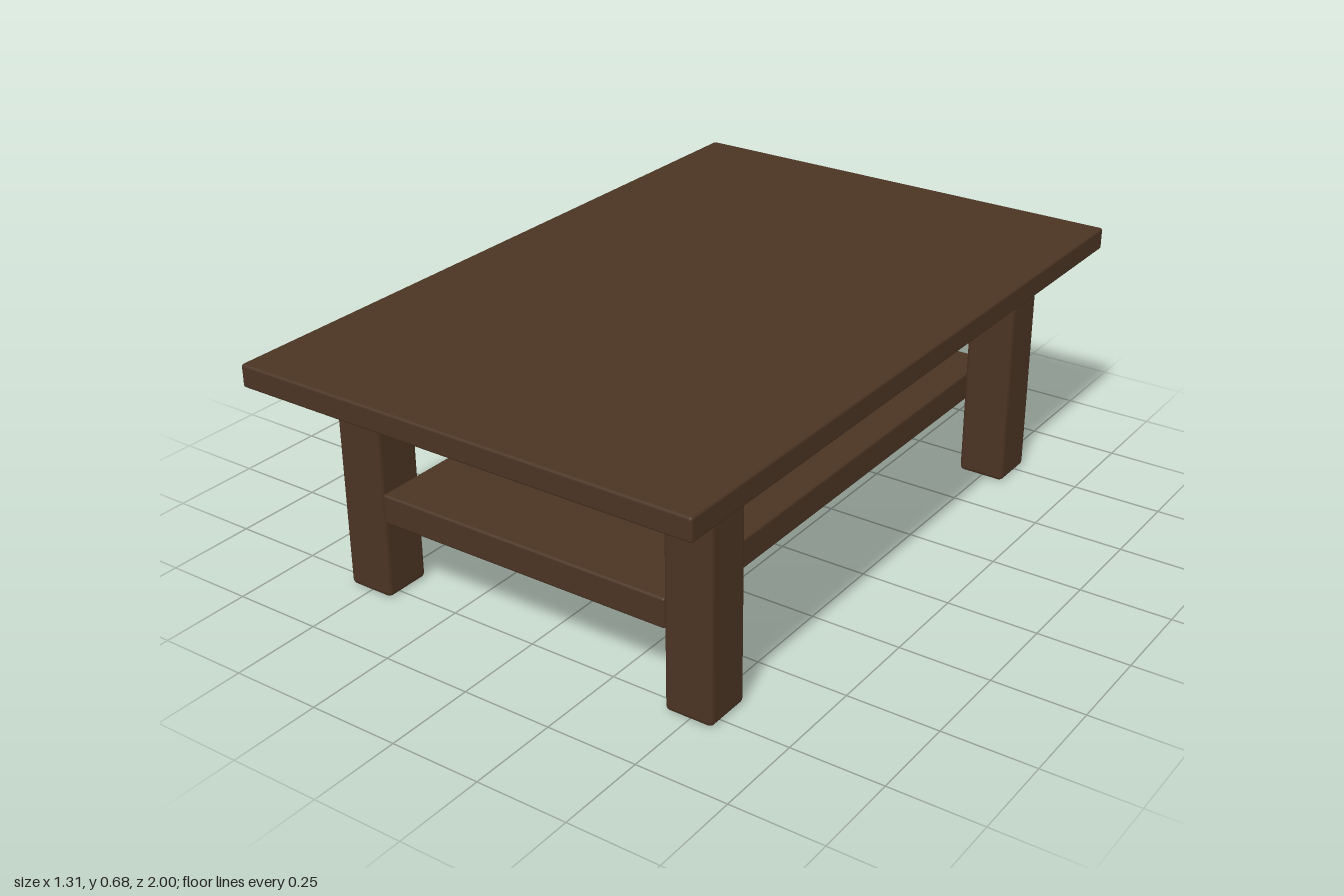
import * as THREE from 'three';
import { RoundedBoxGeometry } from 'three/addons/geometries/RoundedBoxGeometry.js';

export function createModel() {
  const table = new THREE.Group();
  table.name = 'coffeeTable';

  const darkWood = new THREE.MeshStandardMaterial({ color: 0x4b3423 });
  darkWood.name = 'darkWood';

  // Soft-edged wooden block centred in x and z, spanning bottom to top in y
  function block(name, width, depth, bottom, top, radius, x = 0, z = 0) {
    const geometry = new RoundedBoxGeometry(width, top - bottom, depth, 2, radius);
    const mesh = new THREE.Mesh(geometry, darkWood);
    mesh.name = name;
    mesh.position.set(x, (bottom + top) / 2, z);
    table.add(mesh);
  }

  // Table top
  block('tableTop', 1.314, 2, 0.62, 0.682, 0.007);

  // Lower shelf: fits between the legs in x, reaches their outer faces in z
  block('shelf', 0.864, 1.58, 0.22, 0.302, 0.007);

  // Four square legs
  for (const [side, sx] of [['Left', 1], ['Right', -1]]) {
    for (const [end, sz] of [['front', 1], ['back', -1]]) {
      block(end + side + 'Leg', 0.135, 0.137, 0, 0.622, 0.014, sx * 0.498, sz * 0.725);
    }
  }

  return table;
}
